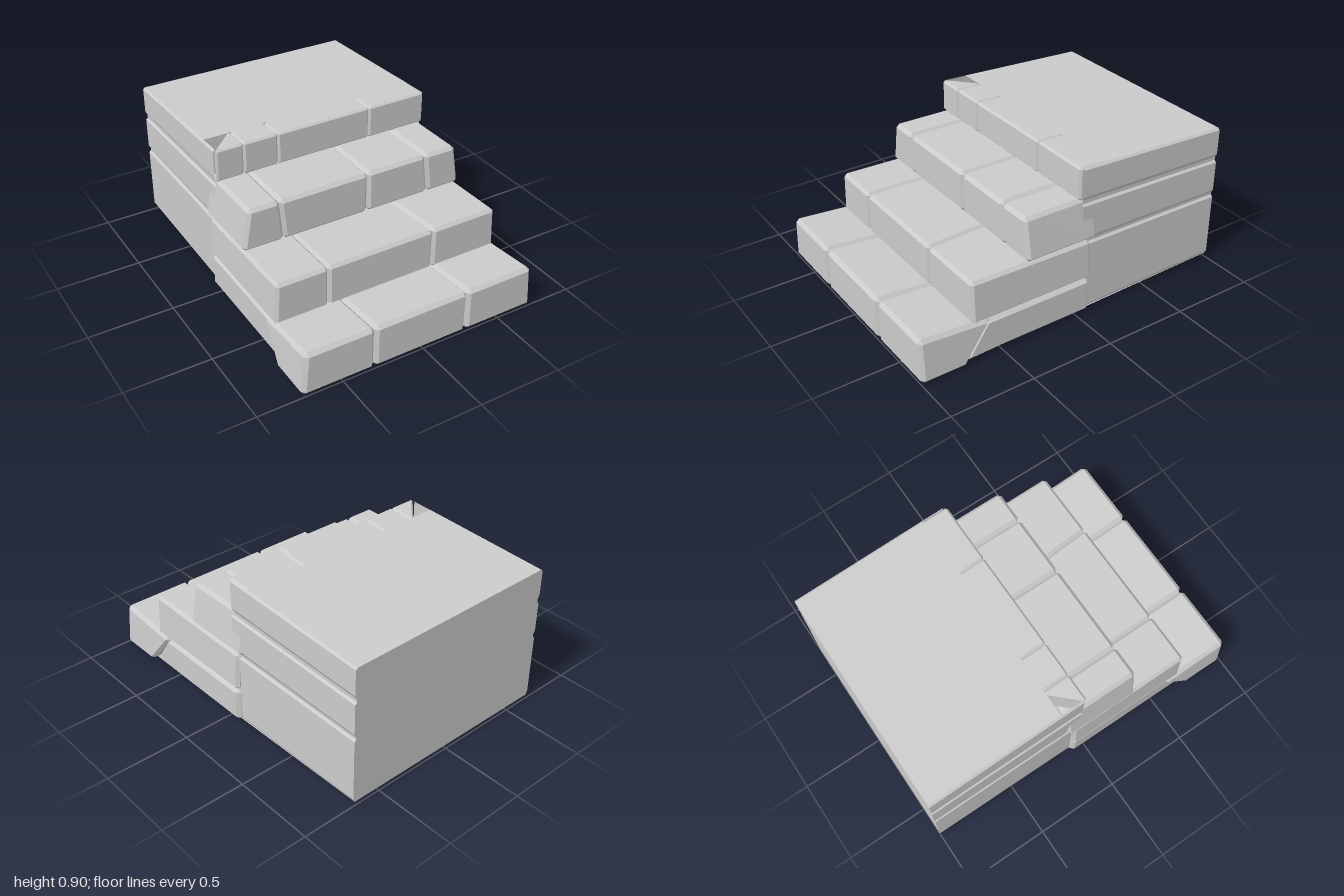
import * as THREE from 'three';
import { ConvexGeometry } from 'three/addons/geometries/ConvexGeometry.js';

const stoneMat = new THREE.MeshStandardMaterial({ color: 0xcccccc, flatShading: true });
const shellMat = new THREE.MeshStandardMaterial({ color: 0xcccccc, flatShading: true, side: THREE.DoubleSide });

// The rear of the staircase sinks a little toward the back
const tilt = (y, z) => {
  const t = Math.max(0, -z), h = y / 0.91;
  return y - 0.045 * t * h + 0.02 * t * (1 - h);
};

// Chamfered block; rule(p) may shift a corner point, or return false to drop it
function stone(name, [x0, x1], [y0, y1], [z0, z1], bevel, rule = () => true) {
  const pts = [];
  for (const sx of [0, 1]) for (const sy of [0, 1]) for (const sz of [0, 1])
    for (const axis of [0, 1, 2]) {
      const inset = (a, b, s, k) => (s ? b : a) + (axis === k ? 0 : (s ? -bevel : bevel));
      const p = new THREE.Vector3(inset(x0, x1, sx, 0), inset(y0, y1, sy, 1), inset(z0, z1, sz, 2));
      if (rule(p, sx, sy, sz) === false) continue;
      p.y = tilt(p.y, p.z);
      pts.push(p);
    }
  const mesh = new THREE.Mesh(new ConvexGeometry(pts), stoneMat);
  mesh.name = name;
  return mesh;
}

// A row of stones side by side; the outer top edges are pulled inward
function course(name, joints, ys, zs, { bevel = 0.015, pull = 0.02, rule = () => true }) {
  const row = new THREE.Group();
  row.name = name;
  const last = joints.length - 2;
  for (let i = 0; i <= last; i++)
    row.add(stone(`${name}Stone${i + 1}`, [joints[i], joints[i + 1]], ys, zs, bevel, (p, sx, sy, sz) => {
      if (sy && i === 0 && !sx) p.x += pull;
      if (sy && i === last && sx) p.x -= pull;
      return rule(p, sx, sy, sz, i);
    }));
  return row;
}

// Half outline of the rear part, with a groove between its layers
const W = 0.68, C = 0.012;
const outline = [[0.01, 0.445], [0.46, 0.69], [0.712, 0.91]].flatMap(([a, b]) =>
  [[W - C, a], [W, a + C * 2], [W, b - C], [W - C, b]]);

function sideWall(s) {
  const pos = [], zf = -0.04, zb = -1;
  for (let i = 0; i < outline.length - 1; i++) {
    const [[xa, ya], [xb, yb]] = [outline[i], outline[i + 1]];
    const q = [[xa, ya, zf], [xa, ya, zb], [xb, yb, zb], [xb, yb, zf]].map(([x, y, z]) => [s * x, tilt(y, z), z]);
    const order = s > 0 ? [0, 1, 2, 0, 2, 3] : [0, 2, 1, 0, 3, 2];
    order.forEach(k => pos.push(...q[k]));
  }
  const g = new THREE.BufferGeometry();
  g.setAttribute('position', new THREE.Float32BufferAttribute(pos, 3));
  g.computeVertexNormals();
  return g;
}

// Flat panel lying at height y, given as [x, z] corners
function panel(corners, y, up) {
  const g = new THREE.ShapeGeometry(new THREE.Shape(corners.map(([x, z]) => new THREE.Vector2(x, up ? -z : z))));
  g.rotateX(up ? -Math.PI / 2 : Math.PI / 2);
  const p = g.attributes.position;
  for (let i = 0; i < p.count; i++) p.setY(i, tilt(y, p.getZ(i)));
  g.computeVertexNormals();
  return g;
}

export function createModel() {
  const model = new THREE.Group();
  model.name = 'stoneSteps';

  // Bottom step: front stones with a slanted joint to the block behind
  const slant = y => 0.58 + (0.235 - y) * 0.67;
  model.add(course('bottomStep', [-0.738, -0.305, 0.28, 0.732], [0.005, 0.27], [0, 1], {
    bevel: 0.022, pull: 0.018,
    rule: (p, sx, sy, sz) => {
      if (!sz) p.z += slant(p.y);
      if (sy) p.y -= 0.08 * (1 - p.z);
    },
  }));
  model.add(stone('bottomRearBlock', [-0.705, 0.705], [0.01, 0.222], [-0.09, 0], 0.022, (p, sx, sy, sz) => {
    if (sz) p.z += slant(p.y) - 0.005;
  }));

  // Second step
  model.add(course('secondStep', [-0.71, -0.39, 0.265, 0.705], [0.225, 0.478], [-0.09, 0.675], {
    bevel: 0.018, pull: 0.012,
    rule: (p, sx, sy, sz, i) => {
      if (sy && !sz) p.y -= 0.015;
      // Joint that drifts sideways toward the front
      if ((i === 1 && sx) || (i === 2 && !sx)) p.x += sz ? 0.01 : -0.04;
    },
  }));

  // Third step
  model.add(course('thirdStep', [-0.702, -0.465, 0.073, 0.47, 0.697], [0.468, 0.72], [-0.13, 0.327], {
    bevel: 0.02, pull: 0.035,
    rule: (p, sx, sy, sz, i) => {
      if ((i === 0 && sx) || (i === 1 && !sx)) p.x += sy ? -0.012 : 0.008;
      if ((i === 2 && sx) || (i === 3 && !sx)) p.x += sy ? -0.015 : 0.01;
    },
  }));

  // Top step: the first stone has a broken back corner
  model.add(course('topStep', [-0.677, -0.508, -0.297, 0.295, 0.672], [0.715, 0.911], [-0.19, -0.018], {
    bevel: 0.012, pull: 0.002,
    rule: (p, sx, sy, sz, i) => !(i === 0 && !sx && !sz),
  }));

  // Hollow rear part: side walls, back, landing and broken floor
  const addShell = (name, geometry) => {
    const mesh = new THREE.Mesh(geometry, shellMat);
    mesh.name = name;
    model.add(mesh);
  };
  addShell('leftWall', sideWall(1));
  addShell('rightWall', sideWall(-1));

  const ring = [...outline, ...outline.map(([x, y]) => [-x, y]).reverse()];
  const back = new THREE.ShapeGeometry(new THREE.Shape(ring.map(([x, y]) => new THREE.Vector2(x, tilt(y, -1)))));
  back.rotateY(Math.PI);
  back.translate(0, 0, -1);
  addShell('backWall', back);

  const e = W - C;
  addShell('landing', panel([[-e, -0.178], [e, -0.178], [e, -1], [-e, -1]], 0.91, true));
  addShell('floor', panel([[-0.69, 0.9], [0.69, 0.9], [e, -1], [-0.46, -0.08], [-0.68, -0.085]], 0.008, false));
  return model;
}
